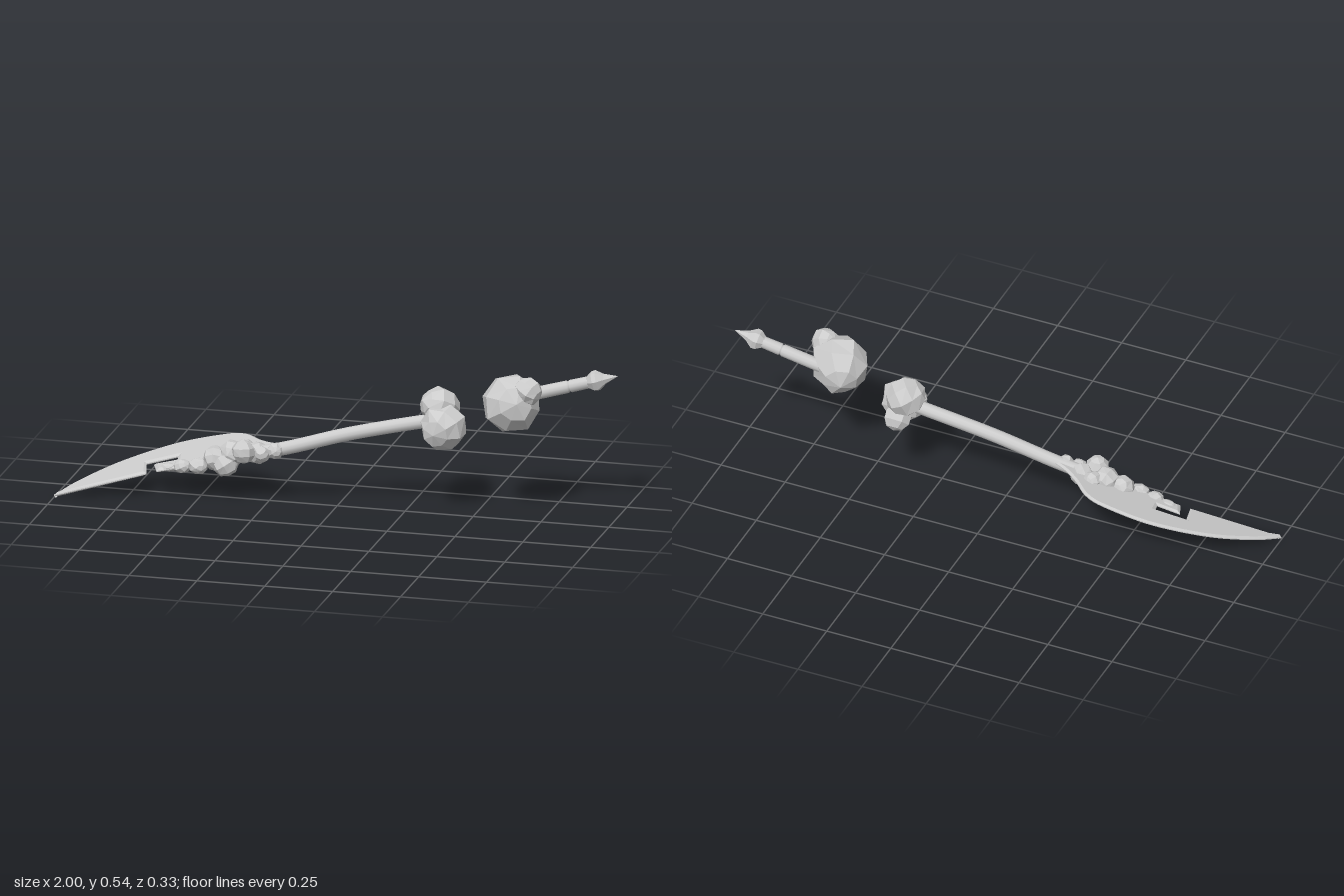
import * as THREE from 'three';

const V = (x, y, z) => new THREE.Vector3(x, y, z);

export function createModel() {
  const group = new THREE.Group();
  const smooth = new THREE.MeshStandardMaterial({ color: 0xcccccc });
  const faceted = new THREE.MeshStandardMaterial({ color: 0xcccccc, flatShading: true });

  function add(name, geometry, material, parent = group) {
    const mesh = new THREE.Mesh(geometry, material);
    mesh.name = name;
    parent.add(mesh);
    return mesh;
  }

  // Tilted plane the blade lies in
  const bladeHeight = (x, z) => 0.21 * (x + 1) - 0.2 * (z - 0.165);

  // Blade: curved back, straight cutting edge, hooked notch
  const s = new THREE.Shape();
  s.moveTo(-1, -0.163);
  s.lineTo(-0.68, -0.085);
  s.lineTo(-0.7, -0.005);
  s.lineTo(-0.59, 0.02);
  s.lineTo(-0.585, -0.01);
  s.lineTo(-0.668, -0.022);
  s.lineTo(-0.645, -0.077);
  s.lineTo(-0.45, -0.05);
  s.lineTo(-0.18, -0.03);
  s.lineTo(-0.18, 0.008);
  s.splineThru([[-0.24, 0.028], [-0.3, 0.068], [-0.37, 0.13], [-0.45, 0.147], [-0.62, 0.125],
    [-0.8, 0.04], [-0.93, -0.07], [-1, -0.163]].map(([x, y]) => new THREE.Vector2(x, y)));
  const blade = new THREE.ExtrudeGeometry(s, {
    depth: 0.004, curveSegments: 32, bevelEnabled: true,
    bevelThickness: 0.006, bevelSize: 0.01, bevelOffset: -0.01, bevelSegments: 1
  });
  blade.translate(0, 0, -0.002).rotateX(-Math.PI / 2);
  const p = blade.attributes.position;
  for (let i = 0; i < p.count; i++) p.setY(i, p.getY(i) + bladeHeight(p.getX(i), p.getZ(i)));
  blade.computeVertexNormals();
  add('blade', blade, smooth);

  // Slightly bowed shaft, running into the blade
  const shaftPath = new THREE.CatmullRomCurve3([
    V(-0.42, 0.148, 0.03), V(-0.2, 0.193, 0.01), V(0.04, 0.26, -0.017), V(0.3, 0.317, -0.045), V(0.38, 0.332, -0.05)
  ]);
  add('shaft', new THREE.TubeGeometry(shaftPath, 24, 0.025, 12), smooth);

  // Turned pommel rod with collar, bulb and spike
  const start = V(0.64, 0.42, -0.098), end = V(0.998, 0.515, -0.137);
  const length = start.distanceTo(end);
  const axis = end.clone().sub(start).normalize();
  function lathe(name, points, sides, material) {
    const mesh = add(name, new THREE.LatheGeometry(points.map(([r, h]) => new THREE.Vector2(r, h)), sides), material);
    mesh.position.copy(start);
    mesh.quaternion.setFromUnitVectors(V(0, 1, 0), axis);
  }
  lathe('pommelRod', [[0, 0], [0.024, 0], [0.023, 0.185], [0.019, 0.188], [0.019, 0.192],
    [0.023, 0.195], [0.022, 0.265]], 12, smooth);
  lathe('pommelBulb', [[0.019, 0.255], [0.037, 0.28], [0.038, 0.295], [0.019, 0.322], [0, length]], 7, faceted);

  // Lumpy faceted stone, shaped by a repeatable ripple
  let count = 0;
  function stone(parent, name, x, y, z, r, sx = 1, sy = 1, sz = 1) {
    const k = ++count;
    const g = new THREE.SphereGeometry(1, 8, 5);
    g.rotateX(k * 1.3).rotateZ(k * 2.1);
    const a = g.attributes.position, v = V(0, 0, 0);
    for (let i = 0; i < a.count; i++) {
      v.fromBufferAttribute(a, i);
      v.multiplyScalar(1 + 0.06 * Math.sin(5 * v.x + k) * Math.cos(4 * v.y - 3 * v.z + k));
      a.setXYZ(i, v.x, v.y, v.z);
    }
    g.scale(r * sx, r * sy, r * sz);
    g.computeVertexNormals();
    add(name, g, faceted, parent).position.set(x, y, z);
  }
  function cluster(name, part, stones) {
    const c = new THREE.Group();
    c.name = name;
    group.add(c);
    stones.forEach(d => stone(c, part, ...d));
  }

  // Stones on both sides of the break in the shaft
  cluster('shaftStones', 'shaftStone', [
    [0.388, 0.312, -0.015, 0.085, 1, 1, 0.92],
    [0.36, 0.37, -0.07, 0.073],
    [0.385, 0.285, -0.09, 0.05]
  ]);
  cluster('pommelStones', 'pommelStone', [
    [0.63, 0.412, -0.042, 0.105, 1.02, 1.02, 0.98],
    [0.7, 0.472, -0.012, 0.051]
  ]);

  // Pebbles crusted along the root of the blade
  cluster('bladePebbles', 'bladePebble', [
    [-0.605, 0.105, 0.05, 0.022, 1.5, 0.7, 1],
    [-0.555, 0.113, 0.055, 0.03, 1.1, 0.85, 1],
    [-0.495, 0.12, 0.06, 0.036, 1, 0.85, 0.95],
    [-0.44, 0.145, 0.03, 0.046, 1, 1, 0.95],
    [-0.4, 0.13, 0.04, 0.047],
    [-0.38, 0.165, 0.02, 0.05],
    [-0.33, 0.185, 0.055, 0.044, 1, 1, 0.95],
    [-0.345, 0.175, -0.015, 0.036],
    [-0.29, 0.17, 0.01, 0.042],
    [-0.265, 0.175, 0.04, 0.03],
    [-0.22, 0.188, 0.025, 0.031]
  ]);

  return group;
}
